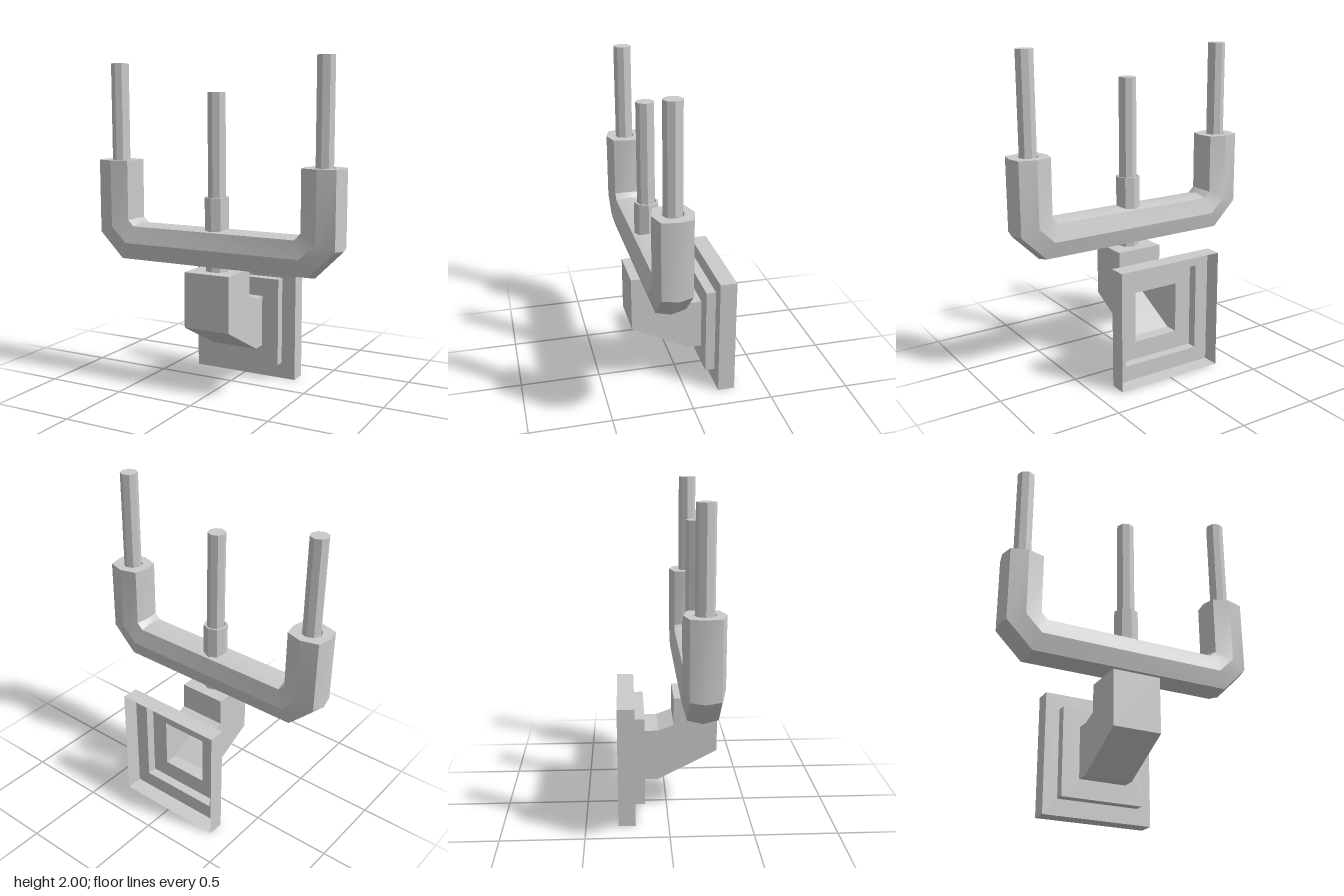
import * as THREE from 'three';
import { toCreasedNormals } from 'three/addons/utils/BufferGeometryUtils.js';

const AXIS_Z = 0.173; // depth of the tube and candles

// Skin a list of equal-length closed rings of Vector3
function loft(rings) {
  const n = rings[0].length;
  const pos = rings.flat().flatMap((p) => [p.x, p.y, p.z]);
  const index = [];
  for (let r = 0; r < rings.length - 1; r++) {
    for (let i = 0; i < n; i++) {
      const j = (i + 1) % n;
      const a = r * n + i, b = r * n + j, c = b + n, d = a + n;
      index.push(a, b, c, a, c, d);
    }
  }
  const g = new THREE.BufferGeometry();
  g.setAttribute('position', new THREE.Float32BufferAttribute(pos, 3));
  g.setIndex(index);
  return g;
}

// Hollow wall mount: stepped back plate running into the angled bracket
function mountGeometry() {
  // half width, top [y, z], bottom [y, z]
  const steps = [
    [0.35, [0.745, -0.305], [0, -0.305]],
    [0.35, [0.745, -0.2], [0, -0.2]],
    [0.26, [0.65, -0.2], [0.1, -0.2]],
    [0.26, [0.65, -0.14], [0.1, -0.14]],
    [0.15, [0.535, -0.14], [0.215, -0.14]],
    [0.15, [0.535, -0.055], [0.215, -0.055]],
    [0.15, [0.57, 0.04], [0.264, 0.04]],
    [0.15, [0.74, 0.04], [0.264, 0.04]],
    [0.15, [0.74, 0.305], [0.4, 0.305]],
    [0.15, [0.4, 0.305], [0.4, 0.305]],
  ];
  const rings = steps.map(([w, t, b]) => [
    new THREE.Vector3(w, ...b), new THREE.Vector3(w, ...t),
    new THREE.Vector3(-w, ...t), new THREE.Vector3(-w, ...b),
  ]);
  return loft(rings).toNonIndexed();
}

// U-shaped tube with mitred corners and a candle socket in each end
function tubeGeometry() {
  const outer = [
    [0.122, 0], [0.103, 0.088], [0, 0.118], [-0.103, 0.088],
    [-0.122, 0], [-0.103, -0.088], [0, -0.118], [0.103, -0.088],
  ];
  const circle = (r) => outer.map((_, i) => [
    r * Math.cos((i * Math.PI) / 4), r * Math.sin((i * Math.PI) / 4)]);
  const ring = (x, y, angle, section, stretch = 1) => section.map(([u, w]) =>
    new THREE.Vector3(
      x - Math.sin(angle) * u * stretch, y + Math.cos(angle) * u * stretch, AXIS_Z + w));
  const miter = 1 / Math.cos(Math.PI / 8);
  const half = (side) => [
    ring(side * 0.682, 1.3, side * Math.PI / 2, circle(0.03)),
    ring(side * 0.682, 1.3, side * Math.PI / 2, circle(0.064)),
    ring(side * 0.682, 1.385, side * Math.PI / 2, circle(0.064)),
    ring(side * 0.682, 1.385, side * Math.PI / 2, outer),
    ring(side * 0.682, 0.975, side * Math.PI * 3 / 8, outer, miter),
    ring(side * 0.583, 0.878, side * Math.PI / 8, outer, miter),
  ];
  return toCreasedNormals(loft([...half(-1), ...half(1).reverse()]), 0.5);
}

export function createModel() {
  const group = new THREE.Group();
  const smooth = new THREE.MeshStandardMaterial({ color: 0xcccccc });
  const flat = new THREE.MeshStandardMaterial({ color: 0xcccccc, flatShading: true });
  const shell = new THREE.MeshStandardMaterial({
    color: 0xcccccc, flatShading: true, side: THREE.DoubleSide });

  const add = (name, geometry, material, x = 0, y = 0, z = 0) => {
    const mesh = new THREE.Mesh(geometry, material);
    mesh.name = name;
    mesh.position.set(x, y, z);
    group.add(mesh);
  };
  const column = (name, radius, bottom, top, x = 0) => add(
    name, new THREE.CylinderGeometry(radius, radius, top - bottom, 8),
    flat, x, (top + bottom) / 2, AXIS_Z);

  add('wallMount', mountGeometry(), shell);
  column('neck', 0.068, 0.73, 0.85);
  add('candleTube', tubeGeometry(), smooth);

  // Central socket
  const cup = [[0.075, 0.96], [0.075, 1.185], [0.063, 1.185], [0.063, 1.1], [0.02, 1.1]]
    .map(([r, y]) => new THREE.Vector2(r, y));
  add('centreSocket', new THREE.LatheGeometry(cup, 8), flat, 0, 0, AXIS_Z);

  // Candles of different heights
  column('rightCandle', 0.055, 1.29, 1.975, -0.682);
  column('centreCandle', 0.055, 1.09, 1.8);
  column('leftCandle', 0.055, 1.29, 2.0, 0.682);

  return group;
}
